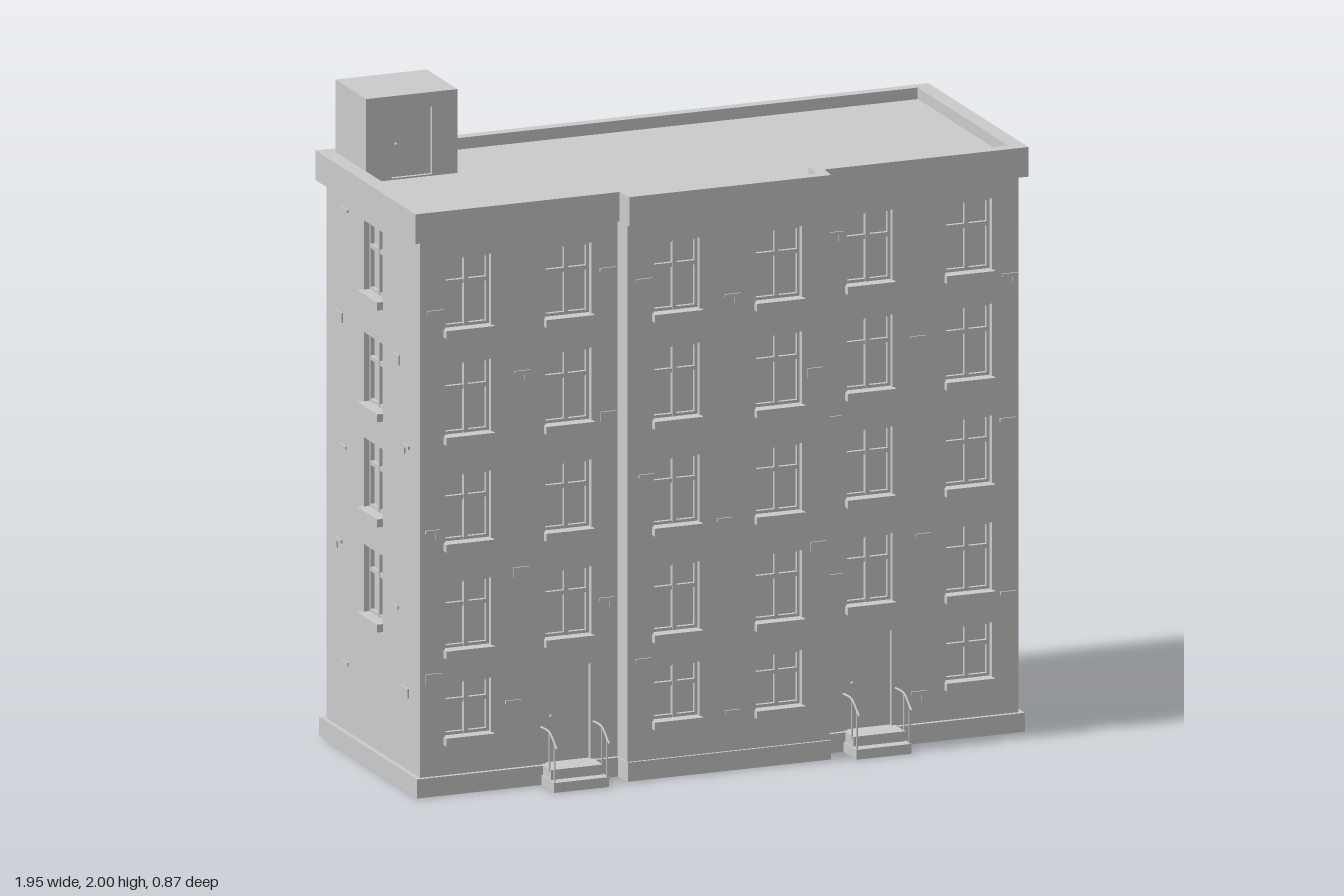
import * as THREE from 'three';

const grey = new THREE.MeshStandardMaterial({ color: 0xcccccc });
const WALL = 0.03; // wall thickness, also the depth of the window recess

function add(parent, name, geometry, x = 0, y = 0, z = 0) {
  const mesh = new THREE.Mesh(geometry, grey);
  mesh.name = name;
  mesh.position.set(x, y, z);
  parent.add(mesh);
  return mesh;
}
const box = (parent, name, w, h, d, x, y, z) => add(parent, name, new THREE.BoxGeometry(w, h, d), x, y, z);

let seed = 7;
const rand = () => (seed = (seed * 16807) % 2147483647) / 2147483647;

// Footprint: rectangle with a bay projecting at the front
function outline(x, back, front, bayX, bayFront) {
  return [[-x, back], [-x, front], [-bayX - 0.006, front], [-bayX, bayFront],
    [bayX, bayFront], [bayX + 0.006, front], [x, front], [x, back]].map(([a, z]) => new THREE.Vector2(a, -z));
}
function slab(points, height, holePoints) {
  const shape = new THREE.Shape(points);
  if (holePoints) shape.holes.push(new THREE.Path(holePoints));
  return new THREE.ExtrudeGeometry(shape, { depth: height, bevelEnabled: false }).rotateX(-Math.PI / 2);
}
const rect = (x0, y0, x1, y1) => [[x0, y0], [x1, y0], [x1, y1], [x0, y1]].map((p) => new THREE.Vector2(...p));

// Sill, frame and glazing bars of one opening, in wall coordinates (wall face at z = 0)
function addWindow(parent, { x, y, w, h }) {
  const g = new THREE.Group();
  g.name = 'window';
  g.position.set(x, y, 0);
  parent.add(g);
  const t = 0.009, z = -0.024, d = 0.012;
  box(g, 'sill', w + 0.008, 0.024, 0.045, 0, 0.012, -0.0025);
  for (const s of [-1, 1]) box(g, 'frameSide', t, h, d, s * (w - t) / 2, h / 2, z);
  box(g, 'frameTop', w, t, d, 0, h - t / 2, z);
  box(g, 'frameBottom', w, t, d, 0, 0.024 + t / 2, z);
  box(g, 'mullion', 0.013, h, d + 0.002, 0, h / 2, z);
  box(g, 'transom', w, 0.013, d, 0, h * 0.67, z);
}

// Door leaf set slightly back in its opening, with a handle
function addDoor(parent, { x, y, w, h }) {
  box(parent, 'door', w, h, 0.018, x, y + h / 2, -0.021);
  add(parent, 'doorHandle', new THREE.SphereGeometry(0.005, 8, 6), x - w / 2 + 0.018, y + h * 0.48, -0.009);
}

// Raised bits of brickwork
function addBricks(parent, xs, y0, y1, count) {
  for (let i = 0; i < count; i++) {
    const x = xs[i % xs.length] + (rand() - 0.5) * 0.03;
    const y = y0 + (y1 - y0) * ((i + rand()) / count);
    const s = rand() > 0.5 ? 1 : -1;
    box(parent, 'brick', 0.05, 0.01, 0.008, x, y, 0.001);
    if (rand() > 0.4) box(parent, 'brick', 0.018, 0.022, 0.008, x + s * 0.016, y - 0.014, 0.001);
  }
}

// A wall panel with openings; local x runs along the wall, local z points outward
function addWall(parent, name, x0, x1, windows, doors = [], bricks = [], brickCount = 0) {
  const g = new THREE.Group();
  g.name = name;
  parent.add(g);
  const shape = new THREE.Shape(rect(x0, 0.03, x1, 1.72));
  for (const o of [...windows, ...doors]) {
    shape.holes.push(new THREE.Path(rect(o.x - o.w / 2, o.y, o.x + o.w / 2, o.y + o.h)));
  }
  const geo = new THREE.ExtrudeGeometry(shape, { depth: WALL, bevelEnabled: false });
  add(g, 'wallPanel', geo, 0, 0, -WALL);
  windows.forEach((o) => addWindow(g, o));
  doors.forEach((o) => addDoor(g, o));
  if (brickCount) addBricks(g, bricks, 0.1, 1.66, brickCount);
  return g;
}

// Entrance steps with a curved handrail on each side
function addEntrance(parent, x) {
  const g = new THREE.Group();
  g.name = 'entrance';
  g.position.x = x;
  parent.add(g);
  box(g, 'lowerStep', 0.175, 0.03, 0.12, 0, 0.015, 0.36);
  box(g, 'upperStep', 0.165, 0.03, 0.085, 0, 0.045, 0.3425);
  const path = new THREE.CatmullRomCurve3([[0.31, 0.172], [0.36, 0.174], [0.385, 0.168],
    [0.41, 0.15], [0.432, 0.135]].map(([z, y]) => new THREE.Vector3(0, y, z)));
  for (const s of [-1, 1]) {
    add(g, 'handrail', new THREE.TubeGeometry(path, 16, 0.0035, 6), s * 0.083);
    for (const [z, y0, y1] of [[0.414, 0.02, 0.147], [0.375, 0.05, 0.171]]) {
      add(g, 'railPost', new THREE.CylinderGeometry(0.003, 0.003, y1 - y0, 6), s * 0.083, (y0 + y1) / 2, z);
    }
  }
}

export function createModel() {
  const model = new THREE.Group();
  model.name = 'apartmentBlock';

  // Core whose faces close the window recesses
  add(model, 'core', slab(outline(0.92, -0.38, 0.28, 0.32, 0.35), 1.7), 0, 0.02);
  add(model, 'plinth', slab(outline(0.965, -0.428, 0.323, 0.322, 0.388), 0.058));

  // Parapet and roof
  add(model, 'parapet', slab(outline(0.973, -0.436, 0.33, 0.32, 0.394), 0.09,
    outline(0.925, -0.402, 0.29, 0.286, 0.36)), 0, 1.69);
  add(model, 'roof', slab(outline(0.95, -0.42, 0.31, 0.3, 0.375), 0.045), 0, 1.7);

  // Window grid
  const cols = [-0.798, -0.48, -0.165, 0.16, 0.477, 0.792];
  const rows = [[0.15, 0.19], [0.415, 0.23], [0.74, 0.23], [1.065, 0.245], [1.39, 0.24]];
  const stack = (x, from = 0) => rows.slice(from).map(([y, h]) => ({ x, y, w: 0.147, h }));
  const door = (x) => ({ x, y: 0.06, w: 0.14, h: 0.29 });

  // Front: two wings and the projecting bay
  addWall(model, 'frontRightWing', -0.95, -0.32, [...stack(cols[0]), ...stack(cols[1], 1)],
    [door(cols[1])], [-0.64, -0.915, -0.365], 9).position.z = 0.31;
  addWall(model, 'frontLeftWing', 0.32, 0.95, [...stack(cols[4], 1), ...stack(cols[5])],
    [door(cols[4])], [0.635, 0.91, 0.365], 9).position.z = 0.31;
  addWall(model, 'frontBay', -0.32, 0.32, [...stack(cols[2]), ...stack(cols[3])],
    [], [0, -0.275, 0.275], 8).position.z = 0.38;
  addEntrance(model, -0.483);
  addEntrance(model, 0.477);

  // Back
  const back = addWall(model, 'backWall', -0.95, 0.95, cols.flatMap((x) => stack(-x)),
    [], [-0.64, 0, 0.635, -0.32, 0.32, 0.91, -0.91], 18);
  back.position.z = -0.41;
  back.rotation.y = Math.PI;

  // Sides: one column of windows on the upper four floors
  for (const s of [-1, 1]) {
    const windows = [[0.43, 0.23], [0.75, 0.235], [1.07, 0.235], [1.41, 0.235]]
      .map(([y, h]) => ({ x: 0, y, w: 0.145, h }));
    const side = addWall(model, s > 0 ? 'leftWall' : 'rightWall', -0.33, 0.33, windows,
      [], [-0.22, 0.25, 0.17, -0.27], 9);
    side.position.set(s * 0.95, 0, -0.05);
    side.rotation.y = s * Math.PI / 2;
  }

  // Stair house on the roof with its door
  const house = new THREE.Group();
  house.name = 'stairHouse';
  house.position.set(-0.78, 1.72, -0.165);
  model.add(house);
  box(house, 'houseCore', 0.29, 0.28, 0.223, 0, 0.14, -0.1235);
  const face = new THREE.Shape(rect(-0.145, 0, 0.145, 0.28));
  face.holes.push(new THREE.Path(rect(-0.065, 0.03, 0.065, 0.235)));
  add(house, 'houseFront', new THREE.ExtrudeGeometry(face, { depth: 0.012, bevelEnabled: false }), 0, 0, -0.012);
  add(house, 'houseDoorHandle', new THREE.SphereGeometry(0.005, 8, 6), -0.047, 0.13, -0.008);
  return model;
}
